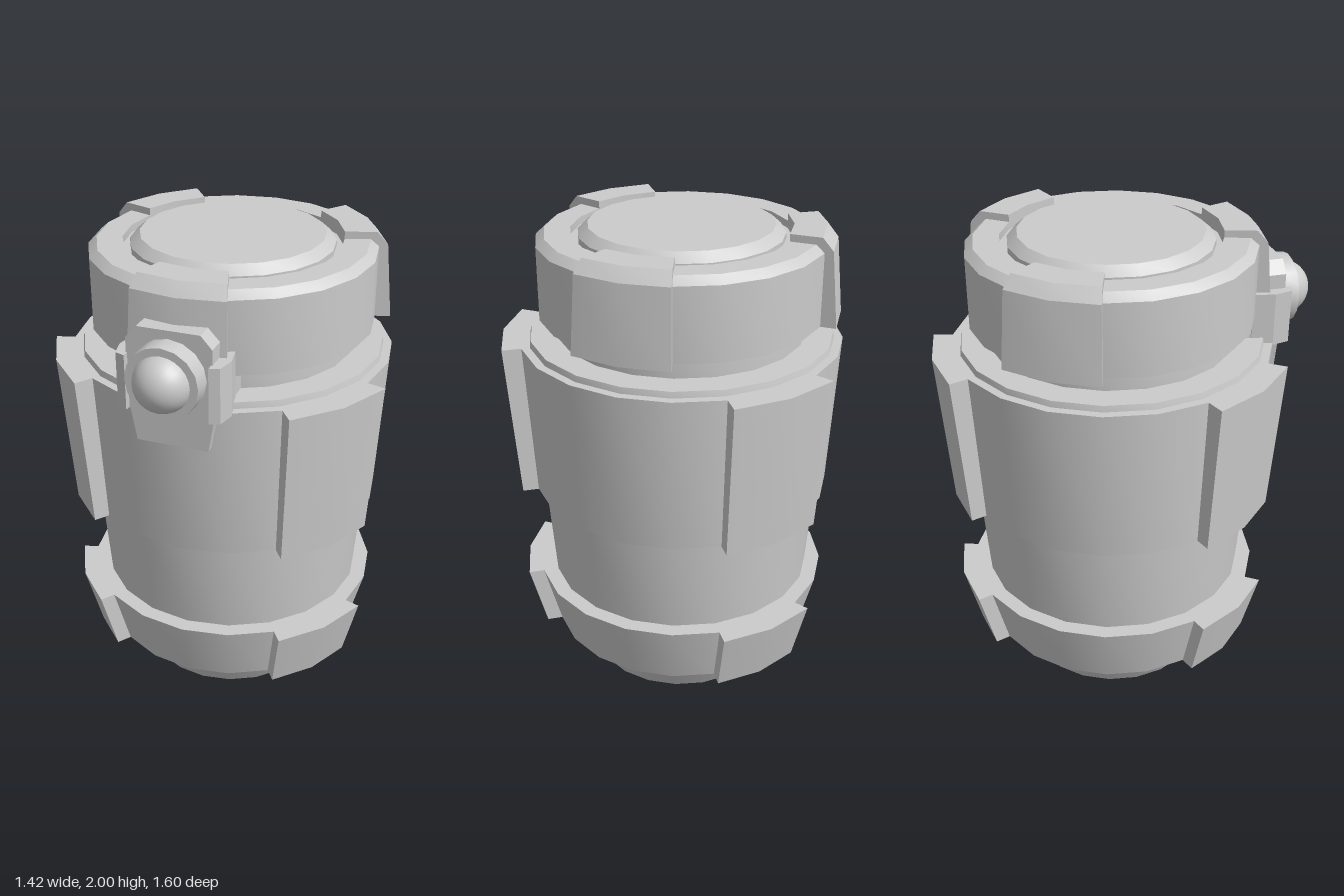
import * as THREE from 'three';
import { toCreasedNormals } from 'three/addons/utils/BufferGeometryUtils.js';

const STEP = Math.PI / 10; // the body has 20 sides
const grey = new THREE.MeshStandardMaterial({ color: 0xcccccc, side: THREE.DoubleSide });
const vec = (pts) => pts.map(([x, y]) => new THREE.Vector2(x, y));

function mesh(name, geometry, parent) {
  const m = new THREE.Mesh(geometry, grey);
  m.name = name;
  parent.add(m);
  return m;
}

// Full turned part from a profile of [radius, height]
function turned(name, pts, parent) {
  return mesh(name, toCreasedNormals(new THREE.LatheGeometry(vec(pts), 20), 0.4), parent);
}

// Raised pad two sides wide, with flat ends; "first" counts sides from the front
function pad(name, pts, first, parent) {
  const g = new THREE.Group();
  g.name = name;
  const start = first * STEP;
  const skin = new THREE.LatheGeometry(vec(pts), 2, start, 2 * STEP);
  mesh(name + 'Skin', toCreasedNormals(skin, 0.4), g);
  for (const phi of [start, start + 2 * STEP]) {
    const end = new THREE.ShapeGeometry(new THREE.Shape(vec(pts)));
    mesh(name + 'End', end.rotateY(phi - Math.PI / 2), g);
  }
  parent.add(g);
}

// Outline in x and y, extruded from z0 to z1
function plate(name, pts, z0, z1, parent) {
  const geo = new THREE.ExtrudeGeometry(new THREE.Shape(vec(pts)), { depth: z1 - z0, bevelEnabled: false });
  return mesh(name, geo.translate(0, 0, z0), parent);
}

export function createModel() {
  const model = new THREE.Group();
  model.name = 'canister';
  const body = new THREE.Group();
  body.name = 'body';
  body.position.z = -0.055;
  model.add(body);

  // Turned body, from the hollow foot up to the lid
  turned('foot', [[0, 0.08], [0.315, 0.08], [0.315, 0], [0.395, 0], [0.495, 0.18]], body);
  turned('lowerBand', [[0.495, 0.18], [0.56, 0.18], [0.63, 0.45], [0.565, 0.45]], body);
  turned('middleWall', [[0.565, 0.45], [0.597, 0.87]], body);
  turned('upperBand', [[0.597, 0.87], [0.63, 0.87], [0.665, 1.525], [0.63, 1.525]], body);
  turned('neck', [[0.63, 1.525], [0.625, 1.55], [0.51, 1.55], [0.51, 1.64]], body);
  turned('cap', [[0.51, 1.64], [0.585, 1.64], [0.585, 1.94], [0.55, 1.97], [0.445, 1.97], [0.445, 1.94], [0.415, 1.94]], body);
  turned('lid', [[0.415, 1.94], [0.415, 1.965], [0.375, 2], [0, 2]], body);

  // Three pads on each band and on the cap
  for (const first of [2, 9, 16]) {
    pad('lowerPad', [[0.56, 0.18], [0.625, 0.18], [0.695, 0.45], [0.63, 0.45]], first, body);
    pad('upperPad', [[0.63, 0.87], [0.697, 0.87], [0.745, 1.525], [0.665, 1.525]], first, body);
  }
  for (const first of [-1, 6, 12]) {
    pad('capPad', [[0.585, 1.64], [0.65, 1.64], [0.62, 1.95], [0.575, 2], [0.445, 2], [0.445, 1.97], [0.55, 1.97], [0.585, 1.94]], first, body);
  }

  // Lamp on the front: mount, back plate, flap and side brackets
  const lamp = new THREE.Group();
  lamp.name = 'lamp';
  model.add(lamp);
  plate('lampPlate', [[-0.17, 1.51], [0.17, 1.51], [0.17, 1.8], [0.125, 1.85], [-0.125, 1.85], [-0.17, 1.8]], 0.5, 0.63, lamp);
  plate('lampFlap', [[-0.145, 1.37], [0.145, 1.37], [0.17, 1.51], [-0.17, 1.51]], 0.54, 0.615, lamp);
  mesh('lampMount', new THREE.BoxGeometry(0.4, 0.09, 0.12).translate(0, 1.595, 0.44), lamp);
  for (const s of [-1, 1]) {
    const outline = [[0.165, 0.48], [0.205, 0.48], [0.222, 0.57], [0.205, 0.645], [0.165, 0.66]];
    const shape = new THREE.Shape(vec(outline.map(([x, z]) => [s * x, -z])));
    const geo = new THREE.ExtrudeGeometry(shape, { depth: 0.225, bevelEnabled: false });
    mesh('lampBracket', geo.rotateX(-Math.PI / 2).translate(0, 1.515, 0), lamp);
  }

  // Lamp ring and domed lens
  const ring = new THREE.CylinderGeometry(0.145, 0.148, 0.08, 16).rotateX(Math.PI / 2);
  mesh('lampRing', toCreasedNormals(ring, 0.5), lamp).position.set(0, 1.67, 0.667);
  const lens = new THREE.SphereGeometry(0.115, 24, 10, 0, Math.PI * 2, 0, Math.PI / 2).rotateX(Math.PI / 2);
  mesh('lampLens', lens, lamp).position.set(0, 1.67, 0.685);
  return model;
}
